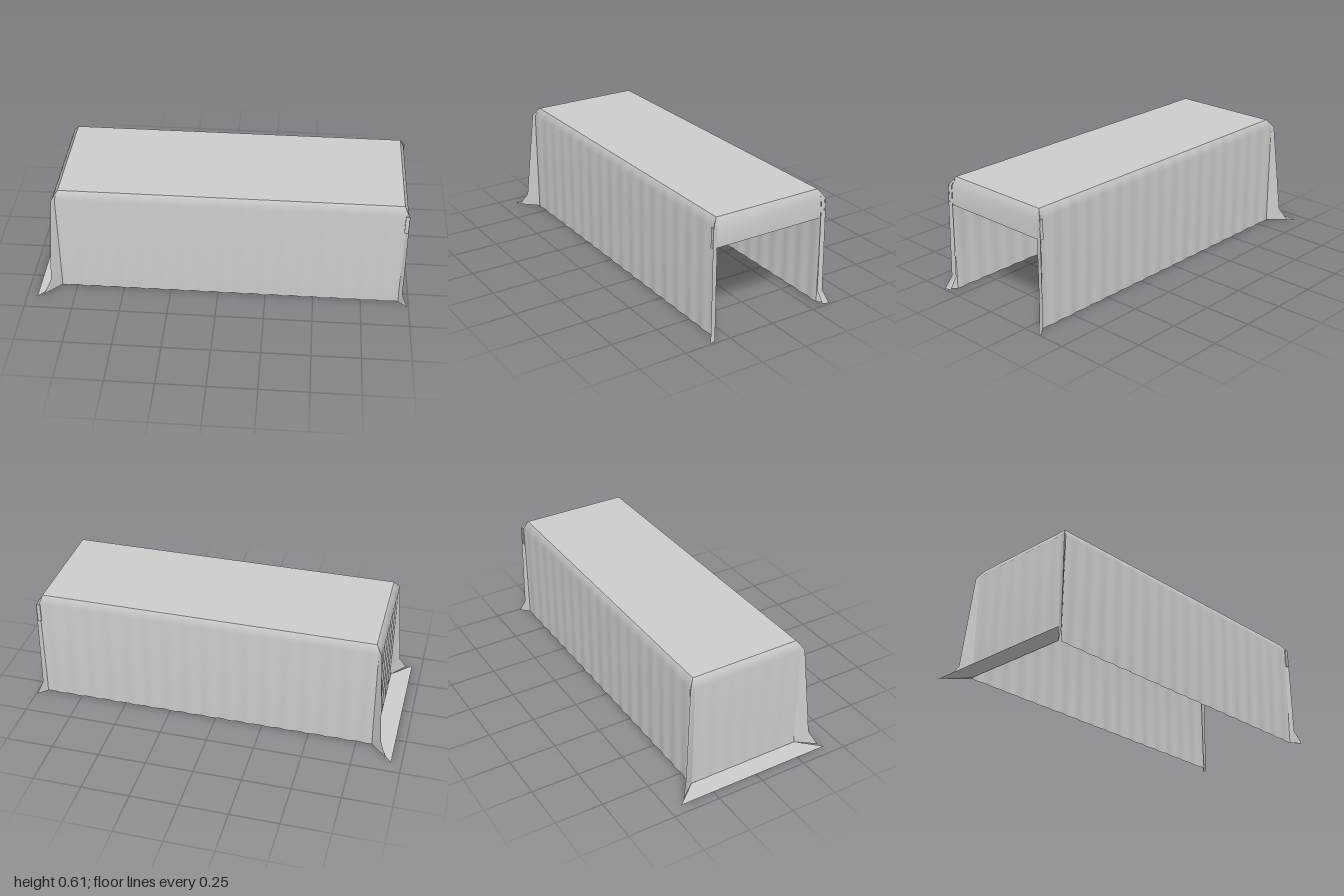
import * as THREE from 'three';

const cloth = new THREE.MeshStandardMaterial({ color: 0xcccccc, side: THREE.DoubleSide });
cloth.name = 'grey cloth';

// Smooth sheet from rows of [x, y, z] points, rows running downwards
function sheet(name, rows) {
  const cols = rows[0].length, index = [];
  for (let r = 0; r < rows.length - 1; r++) {
    for (let c = 0; c < cols - 1; c++) {
      const a = r * cols + c, b = a + 1, d = a + cols, e = d + 1;
      index.push(a, d, b, b, d, e);
    }
  }
  const g = new THREE.BufferGeometry();
  g.setAttribute('position', new THREE.Float32BufferAttribute(rows.flat(2), 3));
  g.setIndex(index);
  g.computeVertexNormals();
  const mesh = new THREE.Mesh(g, cloth);
  mesh.name = name;
  return mesh;
}

// Hanging panel between two corner lines, with soft vertical ripples
function hanging(name, levels, waves, alongX) {
  const n = waves * 8;
  return sheet(name, levels.map(({ y, from, to, amp }) =>
    Array.from({ length: n + 1 }, (_, i) => {
      const t = i / n, w = amp * Math.sin(t * waves * Math.PI * 2);
      const x = from[0] + (to[0] - from[0]) * t, z = from[1] + (to[1] - from[1]) * t;
      return alongX ? [x, y, z + w] : [x + w, y, z];
    })));
}

export function createModel() {
  const group = new THREE.Group();
  group.name = 'tablecloth';

  // Corner pleats: [y, side edge, folded tip, end edge], each edge as x, z
  const closedCorner = [
    [0.61, [-0.81, 0.295], [-0.81, 0.295], [-0.81, 0.295]],
    [0.565, [-0.825, 0.318], [-0.842, 0.326], [-0.84, 0.3]],
    [0.07, [-0.83, 0.314], [-0.88, 0.365], [-0.84, 0.305]],
    [0, [-0.832, 0.313], [-0.915, 0.4], [-0.842, 0.308]],
  ];
  const openCorner = [
    [0.61, [0.93, 0.295], [0.93, 0.295], [0.93, 0.295]],
    [0.565, [0.943, 0.318], [0.957, 0.328], [0.954, 0.303]],
    [0.07, [0.945, 0.314], [0.963, 0.335], [0.957, 0.307]],
    [0, [0.947, 0.313], [0.993, 0.358], [0.982, 0.325]],
  ];
  const amps = [0, 0.0015, 0.003, 0.003];

  // Flat top
  group.add(sheet('top', [
    [[-0.81, 0.61, -0.295], [0.93, 0.61, -0.295]],
    [[-0.81, 0.61, 0.295], [0.93, 0.61, 0.295]],
  ]));

  for (const s of [1, -1]) {
    const side = s > 0 ? 'front' : 'back';

    // Long rippled sides
    group.add(hanging(side + 'Drape', closedCorner.map(([y, p], i) => {
      const a = [p[0], p[1] * s], b = [openCorner[i][1][0], openCorner[i][1][1] * s];
      return { y, from: s > 0 ? a : b, to: s > 0 ? b : a, amp: amps[i] };
    }), 17, true));

    // Folded pleats at both ends
    for (const [rows, dir, end] of [[closedCorner, -1, 'Closed'], [openCorner, 1, 'Open']]) {
      for (const [k, half] of [[1, 'Outer'], [2, 'Inner']]) {
        group.add(sheet(side + end + 'Pleat' + half, rows.map((row) => {
          const pair = [row[k], row[k + 1]].map(([x, z]) => [x, row[0], z * s]);
          return s * dir > 0 ? pair : pair.reverse();
        })));
      }
    }

    // Short tab where the apron wraps round the corner
    const tab = new THREE.Mesh(new THREE.BoxGeometry(0.021, 0.1, 0.006), cloth);
    tab.position.set(0.947, 0.517, 0.324 * s);
    tab.name = side + 'ApronTab';
    group.add(tab);
  }

  // Full-length closed end
  group.add(hanging('endDrape', closedCorner.map(([y, , , e], i) => ({
    y, from: [e[0], -e[1]], to: e, amp: amps[i] * 0.4,
  })), 6, false));

  // Hem spread flat on the floor
  group.add(sheet('floorHem', [
    [[-0.842, 0.001, -0.308], [-0.842, 0.001, 0.308]],
    [[-0.947, 0, -0.432], [-0.947, 0, 0.418]],
  ]));

  // Short apron over the open end
  group.add(sheet('openEndApron', [[0.61, 0.93, 0.295], [0.565, 0.951, 0.304], [0.465, 0.953, 0.304]]
    .map(([y, x, z]) => [[x, y, z], [x, y, -z]])));

  return group;
}
